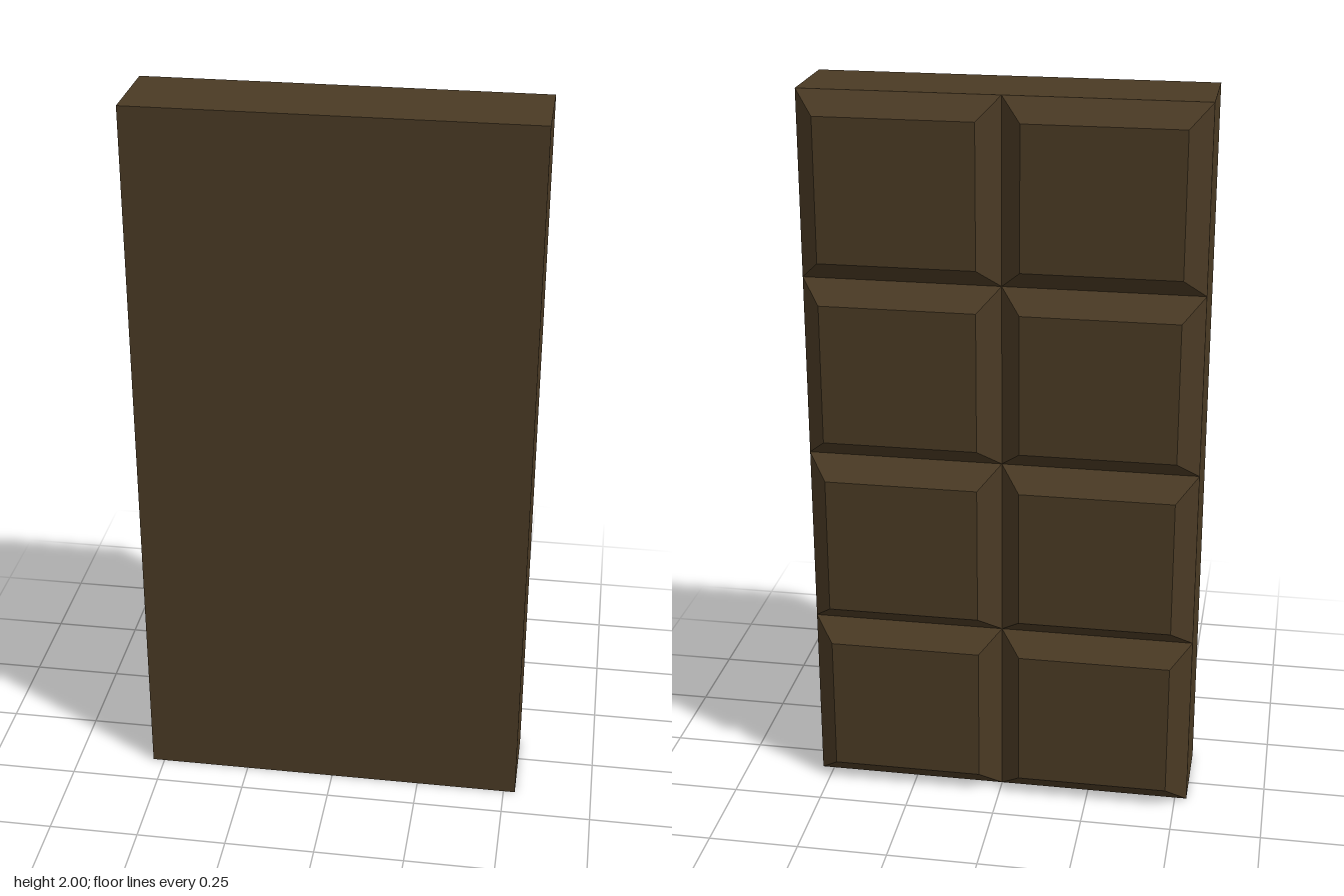
import * as THREE from 'three';

const WIDTH = 1.066, HEIGHT = 2;
const FRONT = 0.158, SEAM = -0.086; // z of the flat front and of the groove bottoms
const COLS = 2, BEVEL = 0.057;
const ROW_BACKS = [-0.146, -0.155, -0.154, -0.15]; // z of each row's raised face, bottom to top

const material = new THREE.MeshStandardMaterial({ color: 0x4a3a24, flatShading: true });

// Box whose back face is drawn in to leave four sloping sides
function bevelledBlock(w, h, depth) {
  const geo = new THREE.BoxGeometry(w, h, depth);
  const p = geo.attributes.position;
  for (let i = 0; i < p.count; i++) {
    if (p.getZ(i) < 0) {
      p.setX(i, p.getX(i) - Math.sign(p.getX(i)) * BEVEL);
      p.setY(i, p.getY(i) - Math.sign(p.getY(i)) * BEVEL);
    }
  }
  geo.computeVertexNormals();
  return geo;
}

export function createModel() {
  const bar = new THREE.Group();
  bar.name = 'chocolateBar';

  // Solid base slab
  const slab = new THREE.Mesh(new THREE.BoxGeometry(WIDTH, HEIGHT, FRONT - SEAM), material);
  slab.name = 'slab';
  slab.position.set(0, HEIGHT / 2, (FRONT + SEAM) / 2);
  bar.add(slab);

  // Raised squares on the back
  const w = WIDTH / COLS, h = HEIGHT / ROW_BACKS.length;
  ROW_BACKS.forEach((back, row) => {
    const geo = bevelledBlock(w, h, SEAM - back);
    for (let col = 0; col < COLS; col++) {
      const square = new THREE.Mesh(geo, material);
      square.name = `square_row${row + 1}_column${col + 1}`;
      square.position.set((col + 0.5) * w - WIDTH / 2, (row + 0.5) * h, (SEAM + back) / 2);
      bar.add(square);
    }
  });

  return bar;
}
